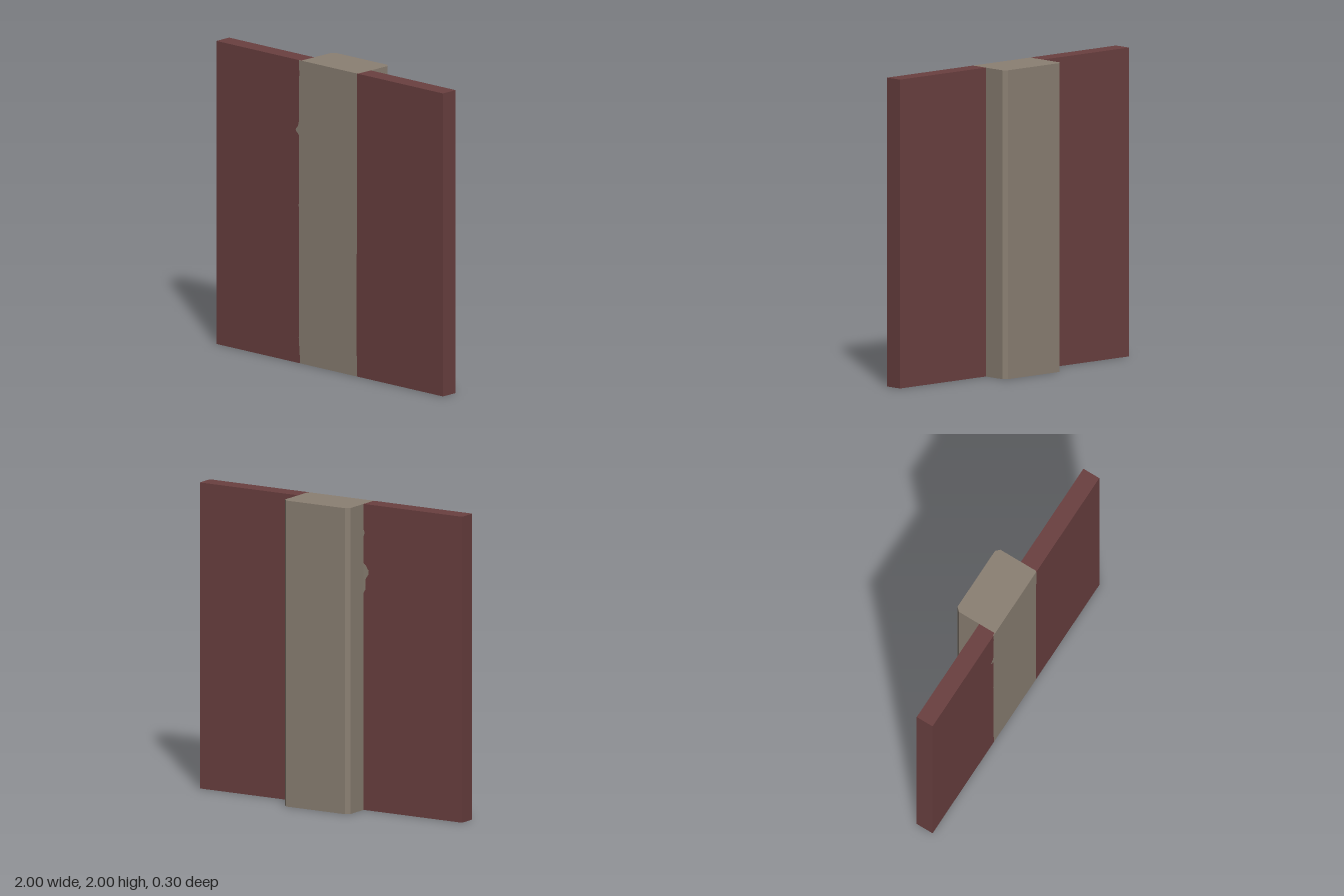
import * as THREE from 'three';

const H = 2, FRONT = 0.15, BACK = 0.03, SKIN = 0.004, HALF = 0.25;

// Slightly worn colour boundaries on the front face, bottom to top
const rightEdge = [[-0.262, 0], [-0.262, 0.04], [-0.272, 0.17], [-0.268, 0.2], [-0.27, 1.02], [-0.273, 1.04],
  [-0.27, 1.07], [-0.27, 1.5], [-0.278, 1.515], [-0.29, 1.522], [-0.3, 1.54], [-0.285, 1.555],
  [-0.275, 1.575], [-0.27, 1.6], [-0.27, 1.88], [-0.265, 1.91], [-0.27, 1.95], [-0.27, H]];
const leftEdge = [[0.242, 0], [0.243, 0.08], [0.238, 0.18], [0.238, 0.8], [0.243, 0.82], [0.244, H]];

export function createModel() {
  const group = new THREE.Group();
  const red = new THREE.MeshStandardMaterial({ color: 0x6a4040 });
  red.name = 'dull red';
  const stone = new THREE.MeshStandardMaterial({ color: 0x8b8073 });
  stone.name = 'warm grey stone';

  const add = (name, geometry, material) => {
    const mesh = new THREE.Mesh(geometry, material);
    mesh.name = name;
    group.add(mesh);
    return mesh;
  };
  const extrude = (points, depth) => new THREE.ExtrudeGeometry(
    new THREE.Shape(points.map(([x, y]) => new THREE.Vector2(x, y))), { depth, bevelEnabled: false });

  // Wall panels on both sides of the pillar
  const depth = FRONT - SKIN - BACK;
  for (const [name, s] of [['leftPanel', 1], ['rightPanel', -1]]) {
    add(name, new THREE.BoxGeometry(1 - HALF, H, depth), red)
      .position.set(s * (1 + HALF) / 2, H / 2, BACK + depth / 2);
  }

  // Pillar with its two rear corners chamfered; plan drawn as (x, -z)
  const c = 0.025, f = -(FRONT - SKIN), b = 0.15;
  const pillar = extrude([[-HALF, f], [HALF, f], [HALF, b - c], [HALF - c, b],
    [-HALF + c, b], [-HALF, b - c]], H);
  pillar.rotateX(-Math.PI / 2);
  add('pillar', pillar, stone);

  // Flush front facing, split along the worn boundaries
  const facings = [
    ['rightFacing', [[-1, 0], ...rightEdge, [-1, H]], red],
    ['pillarFacing', [...leftEdge, ...[...rightEdge].reverse()], stone],
    ['leftFacing', [[1, H], ...[...leftEdge].reverse(), [1, 0]], red],
  ];
  for (const [name, points, material] of facings) {
    add(name, extrude(points, SKIN), material).position.z = FRONT - SKIN;
  }

  // Small stone patches on the back beside the pillar
  const patches = [
    [[-0.25, 1.42], [-0.25, 1.61], [-0.265, 1.6], [-0.285, 1.57], [-0.285, 1.54], [-0.265, 1.51], [-0.262, 1.44]],
    [[-0.25, 1.79], [-0.25, 1.83], [-0.258, 1.81]],
  ];
  patches.forEach((points) => {
    add('backPatch', extrude(points, 0.002), stone).position.z = BACK - 0.002;
  });
  return group;
}
